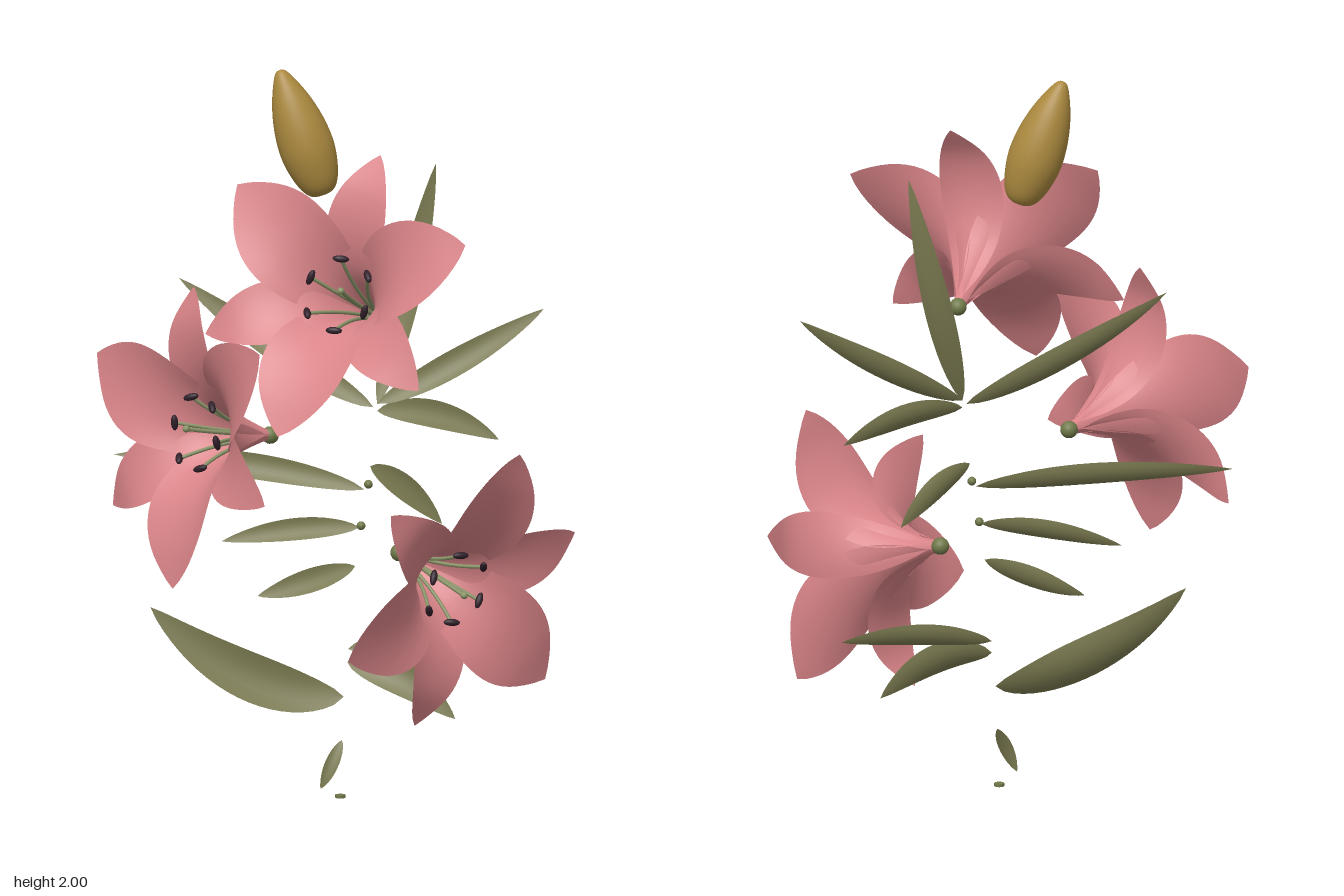
import * as THREE from 'three';

const material = (name, color, side = THREE.FrontSide) => {
  const m = new THREE.MeshStandardMaterial({ color, side });
  m.name = name;
  return m;
};
const V = (x, y, z) => new THREE.Vector3(x, y, z);

// Curved strip along a path: half-width and cross-section radius vary with t
function bladeGeometry(curve, halfWidth, bendRadius, hint, rows = 24, cols = 8) {
  const pos = [], index = [];
  for (let i = 0; i <= rows; i++) {
    const t = i / rows;
    const p = curve.getPoint(t), tan = curve.getTangent(t);
    const side = tan.clone().cross(hint).normalize();
    const normal = side.clone().cross(tan);
    const h = halfWidth(t), R = Math.max(bendRadius(t), h * 0.65);
    for (let j = 0; j <= cols; j++) {
      const a = (j / cols * 2 - 1) * h / R;
      const q = p.clone().addScaledVector(side, R * Math.sin(a))
        .addScaledVector(normal, R * (1 - Math.cos(a)));
      pos.push(q.x, q.y, q.z);
      if (i < rows && j < cols) {
        const k = i * (cols + 1) + j, n = k + cols + 1;
        index.push(k, k + 1, n, k + 1, n + 1, n);
      }
    }
  }
  const g = new THREE.BufferGeometry();
  g.setAttribute('position', new THREE.Float32BufferAttribute(pos, 3));
  g.setIndex(index);
  g.computeVertexNormals();
  return g;
}

export function createModel() {
  const root = new THREE.Group();
  root.name = 'lilySpray';
  const pink = material('petalPink', 0xd98488, THREE.DoubleSide);
  const green = material('leafGreen', 0x7a7950, THREE.DoubleSide);
  const stalk = material('stalkGreen', 0x707a4a);
  const pale = material('filamentGreen', 0x8a9468);
  const dark = material('antherDark', 0x30202a);
  const gold = material('budGold', 0xac8a3f);

  const add = (parent, name, geometry, mat, at) => {
    const m = new THREE.Mesh(geometry, mat);
    m.name = name;
    if (at) m.position.copy(at);
    parent.add(m);
    return m;
  };

  // Petals: a flared trumpet profile (x = radius, y = along the axis), widest past the middle
  const petal = (width, swell, flare) => bladeGeometry(
    new THREE.CatmullRomCurve3([[0.012, 0], [0.035, 0.09], [0.085, 0.185], ...flare]
      .map(([r, a]) => V(r, a, 0))),
    t => 0.5 * Math.max(width * Math.pow(Math.max(0, Math.sin(Math.PI * Math.pow(t, swell))), 0.85),
      0.02 * (1 - t)),
    t => 0.05 + 0.7 * t * t, V(-1, 1, 0), 28);
  const widePetal = petal(0.27, 1.5, [[0.18, 0.266], [0.3, 0.308], [0.425, 0.318]]);
  const narrowPetal = petal(0.185, 1.35, [[0.18, 0.258], [0.287, 0.287], [0.397, 0.27]]);

  // Stamens: thin filament with a dark anther across its end
  const filament = new THREE.TubeGeometry(new THREE.QuadraticBezierCurve3(
    V(0.008, 0.01, 0), V(0.03, 0.15, 0), V(0.1, 0.25, 0)), 12, 0.005, 8);
  const anther = new THREE.SphereGeometry(1, 12, 8);
  anther.scale(0.01, 0.01, 0.023);
  const pistil = new THREE.TubeGeometry(new THREE.QuadraticBezierCurve3(
    V(0, 0, 0), V(0, 0.15, 0), V(0.02, 0.27, 0)), 12, 0.006, 8);

  function flower(name, base, centre, petalTip) {
    const g = new THREE.Group();
    g.name = name;
    const y = centre.clone().sub(base).normalize();
    const x = petalTip.clone().sub(centre);
    x.addScaledVector(y, -x.dot(y)).normalize();
    const z = x.clone().cross(y);
    g.quaternion.setFromRotationMatrix(new THREE.Matrix4().makeBasis(x, y, z));
    g.position.copy(base);
    for (let i = 0; i < 6; i++) {
      const a = i * Math.PI / 3;
      add(g, i % 2 ? 'outerPetal' : 'innerPetal', i % 2 ? narrowPetal : widePetal, pink).rotation.y = a;
      const s = new THREE.Group();
      s.name = 'stamen';
      s.rotation.y = a + 0.25;
      add(s, 'filament', filament, pale);
      add(s, 'anther', anther, dark, V(0.1, 0.253, 0)).rotation.x = i % 2 ? 0.5 : -0.3;
      g.add(s);
    }
    add(g, 'pistil', pistil, pale);
    add(g, 'stigma', new THREE.SphereGeometry(0.01, 10, 8), pale, V(0.02, 0.272, 0));
    add(g, 'receptacle', new THREE.SphereGeometry(0.024, 16, 12), stalk);
    root.add(g);
  }
  flower('upperFlower', V(0.14, 1.34, -0.14), V(0.043, 1.452, 0.095), V(0.42, 1.61, 0.21));
  flower('rightFlower', V(-0.16, 1.0, -0.175), V(-0.367, 1.04, 0.015), V(-0.64, 1.195, -0.26));
  flower('leftFlower', V(0.19, 0.68, -0.19), V(0.385, 0.61, 0), V(0.57, 0.332, -0.26));

  // Bud: a tapered lathe leaning towards the right
  const budProfile = [[0, 0], [0.03, 0.004], [0.052, 0.03], [0.068, 0.08], [0.075, 0.135],
    [0.07, 0.2], [0.055, 0.265], [0.034, 0.32], [0.015, 0.355], [0, 0.362]];
  const curve = new THREE.SplineCurve(budProfile.map(p => new THREE.Vector2(...p)));
  const budPoints = curve.getPoints(40).map(p => p.set(Math.max(0, p.x), p.y));
  const bud = add(root, 'bud', new THREE.LatheGeometry(budPoints, 32), gold, V(-0.022, 1.657, -0.232));
  bud.rotation.z = 0.335;

  // Leaves: start, tip, width, lift of the middle, forward shift of the middle
  const leaves = [
    [[0.13, 1.09, -0.19], [0.28, 1.74, -0.283], 0.08, -0.05, -0.075],
    [[0.13, 1.09, -0.19], [0.575, 1.345, -0.28], 0.078, -0.03, -0.045],
    [[0.13, 1.07, -0.19], [0.455, 0.985, -0.255], 0.08, 0.05, -0.02],
    [[0.12, 1.08, -0.19], [-0.42, 1.41, -0.27], 0.08, -0.04, -0.03],
    [[0.095, 0.85, -0.2], [-0.6, 0.915, -0.285], 0.075, 0.03, -0.05],
    [[0.08, 0.745, -0.2], [-0.3, 0.69, -0.24], 0.065, 0.02, -0.015],
    [[0.07, 0.64, -0.19], [-0.2, 0.545, -0.22], 0.07, -0.01, -0.01],
    [[0.11, 0.915, -0.2], [0.3, 0.75, -0.25], 0.07, 0.03, -0.01],
    [[0.04, 0.28, -0.18], [-0.48, 0.53, -0.11], 0.14, -0.13, 0.02],
    [[0.05, 0.375, -0.18], [0.35, 0.235, -0.13], 0.1, 0.07, 0.02],
    [[0.05, 0.41, -0.19], [0.46, 0.425, -0.24], 0.075, 0.03, -0.01],
    [[0.035, 0.16, -0.18], [-0.02, 0.03, -0.15], 0.04, -0.01, 0.02],
  ];
  for (const [start, tip, width, lift, shift] of leaves) {
    const a = V(...start), b = V(...tip);
    const mid = a.clone().lerp(b, 0.5).add(V(0, lift, shift));
    add(root, 'leaf', bladeGeometry(new THREE.QuadraticBezierCurve3(a, mid, b),
      t => 0.5 * width * Math.pow(Math.max(0, Math.sin(Math.PI * Math.pow(t, 0.85))), 0.8),
      () => width * 0.9, V(0, 0.4, 1), 20, 6), green);
  }

  // Leaf joints and the cut foot of the stalk
  for (const p of [[0.105, 0.865, -0.2], [0.085, 0.75, -0.2]])
    add(root, 'leafJoint', new THREE.SphereGeometry(0.012, 12, 8), stalk, V(...p));
  add(root, 'stalkFoot', new THREE.CylinderGeometry(0.014, 0.014, 0.008, 16), stalk, V(0.03, 0.004, -0.185));
  return root;
}
